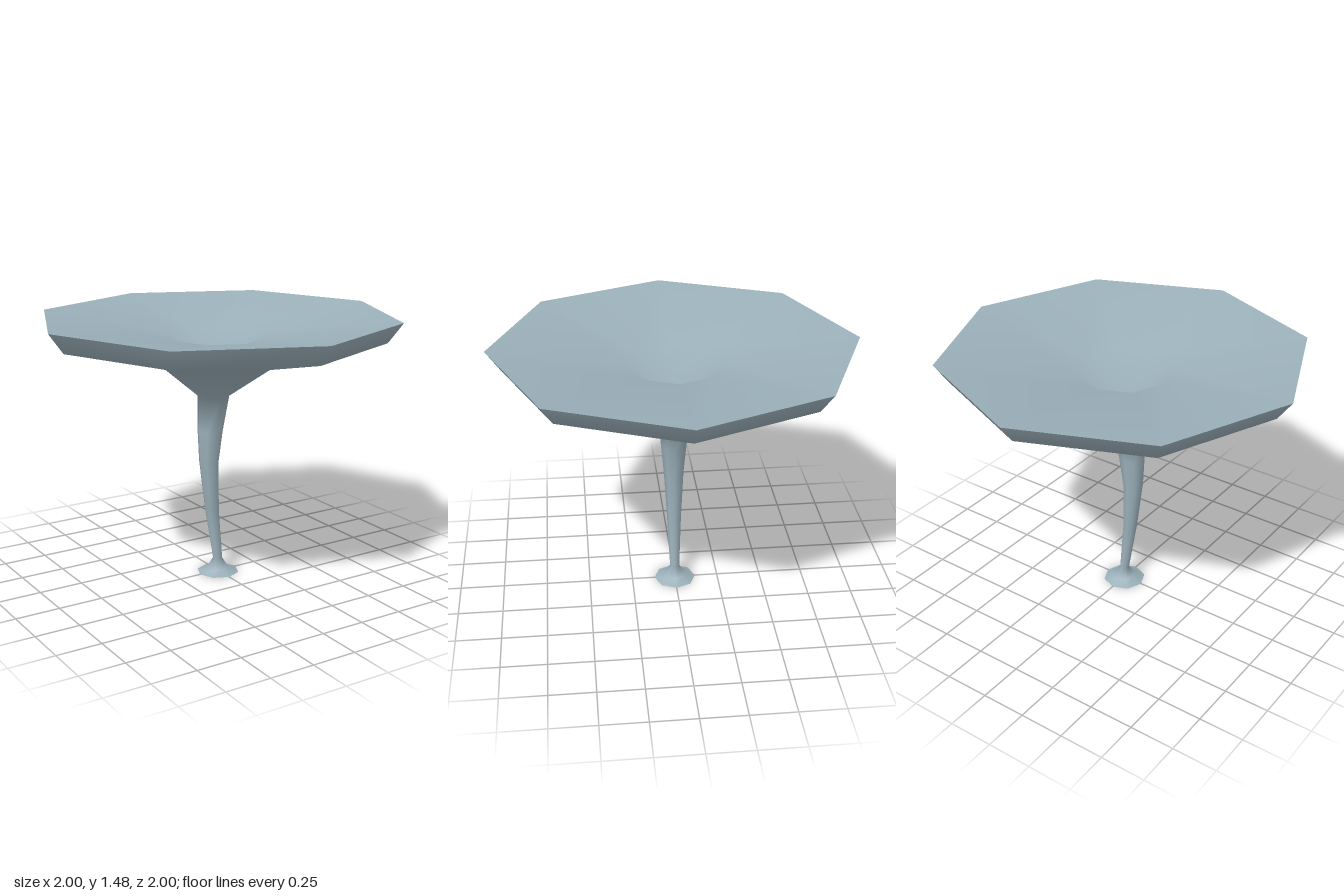
import * as THREE from 'three';
import { mergeVertices } from 'three/addons/utils/BufferGeometryUtils.js';

const SIDES = 8;

// Skins a run of octagonal rings [centre x, y, radius] with smooth normals.
function loft(rings) {
  const positions = [], index = [];
  rings.forEach(([cx, y, r], i) => {
    for (let j = 0; j < SIDES; j++) {
      const angle = (j / SIDES) * Math.PI * 2;
      positions.push(cx + Math.cos(angle) * r, y, Math.sin(angle) * r);
      if (i === rings.length - 1) continue;
      const a = i * SIDES + j, b = i * SIDES + (j + 1) % SIDES;
      const c = a + SIDES, d = b + SIDES;
      if (r > 0) index.push(a, c, b);
      if (rings[i + 1][2] > 0) index.push(b, c, d);
    }
  });
  let geometry = new THREE.BufferGeometry();
  geometry.setAttribute('position', new THREE.Float32BufferAttribute(positions, 3));
  geometry.setIndex(index);
  geometry = mergeVertices(geometry);
  geometry.computeVertexNormals();
  return geometry;
}

export function createModel() {
  const model = new THREE.Group();
  model.name = 'funnelTree';
  const blueGrey = new THREE.MeshStandardMaterial({ color: 0x9bb0ba });
  blueGrey.name = 'blueGrey';

  const add = (name, rings) => {
    const mesh = new THREE.Mesh(loft(rings), blueGrey);
    mesh.name = name;
    model.add(mesh);
  };

  // Flared foot, bowed stem and underside of the canopy in one skin
  add('stemAndCanopyUnderside', [
    [0, 0, 0.12],
    [0, 0.025, 0.06],
    [-0.002, 0.08, 0.027],
    [-0.04, 0.38, 0.04],
    [-0.06, 0.67, 0.056],
    [-0.051, 0.85, 0.072],
    [-0.03, 1.045, 0.09],
    [0, 1.24, 0.355],
    [0, 1.37, 0.92],
    [0, 1.48, 1],
  ]);

  // Shallow dish on top, dropping into a central pit
  add('canopyDish', [
    [0, 1.48, 1],
    [0, 1.37, 0.265],
    [-0.01, 1.17, 0],
  ]);

  // Flat sole of the foot
  add('footSole', [
    [0, 0, 0],
    [0, 0, 0.12],
  ]);

  return model;
}
